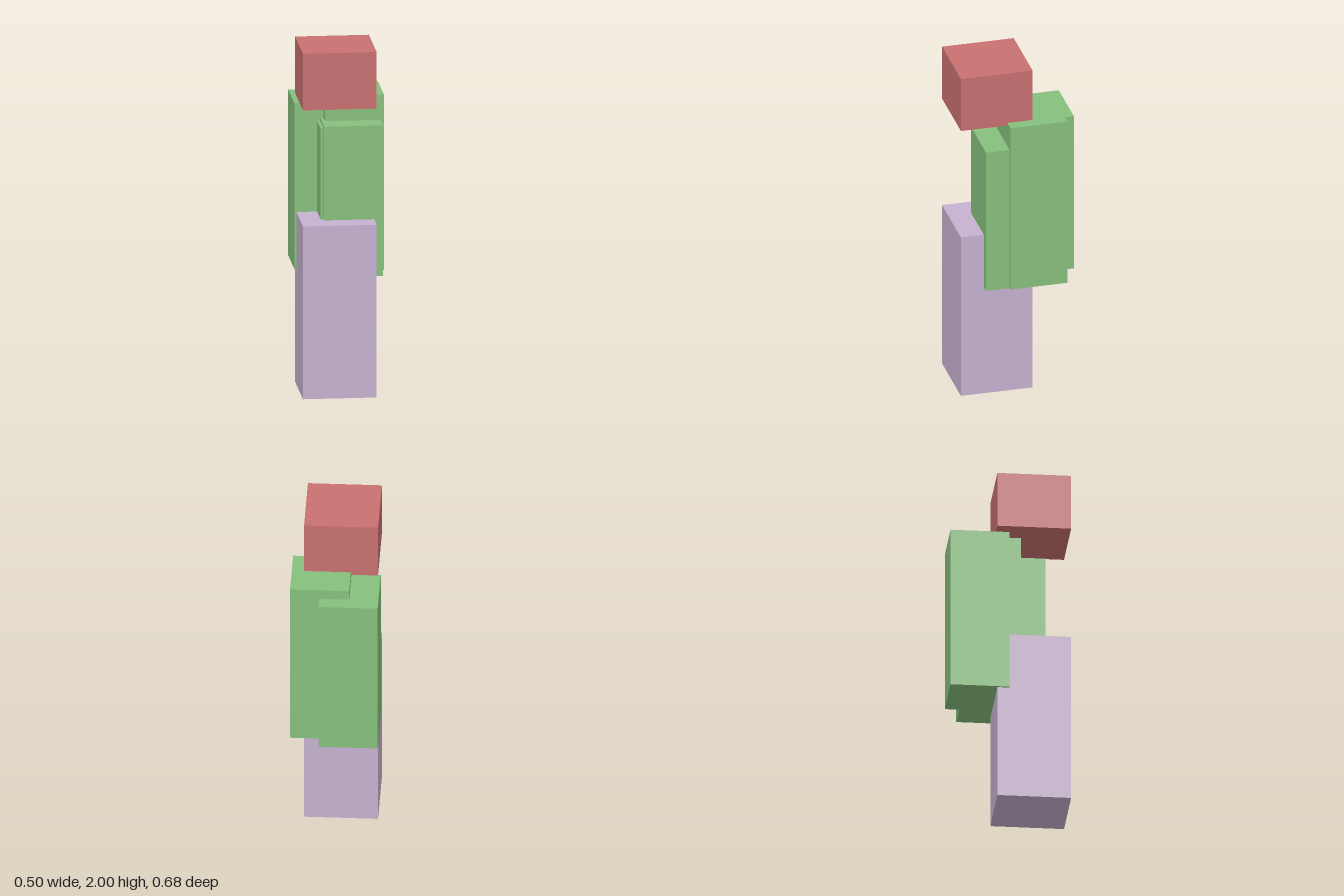
import * as THREE from 'three';

const material = (color) => new THREE.MeshStandardMaterial({ color, flatShading: true });

// Square block given by its plan centre, side, bottom and top
function block(name, mat, x, z, side, bottom, top) {
  const mesh = new THREE.Mesh(new THREE.BoxGeometry(side, top - bottom, side), mat);
  mesh.position.set(x, (bottom + top) / 2, z);
  mesh.name = name;
  return mesh;
}

export function createModel() {
  const model = new THREE.Group();
  model.name = 'stackedBlocks';

  const lilac = material(0xc5b1cf);
  const green = material(0x86bf7c);
  const red = material(0xc87070);

  // Tall base and the cap floating directly above it
  model.add(block('baseBlock', lilac, -0.029, 0.132, 0.417, 0, 1));
  model.add(block('topBlock', red, -0.029, 0.132, 0.417, 1.672, 2));

  // Cluster of overlapping pillars sharing one bottom level: [x, z, top]
  const pillars = new THREE.Group();
  pillars.name = 'pillarCluster';
  [
    [-0.083, -0.176, 1.63],
    [0.082, -0.096, 1.688],
    [0.063, 0.041, 1.542],
    [0.046, 0.014, 1.526],
  ].forEach(([x, z, top], i) => {
    pillars.add(block(`pillar${i + 1}`, green, x, z, 0.333, 0.67, top));
  });
  model.add(pillars);

  return model;
}
